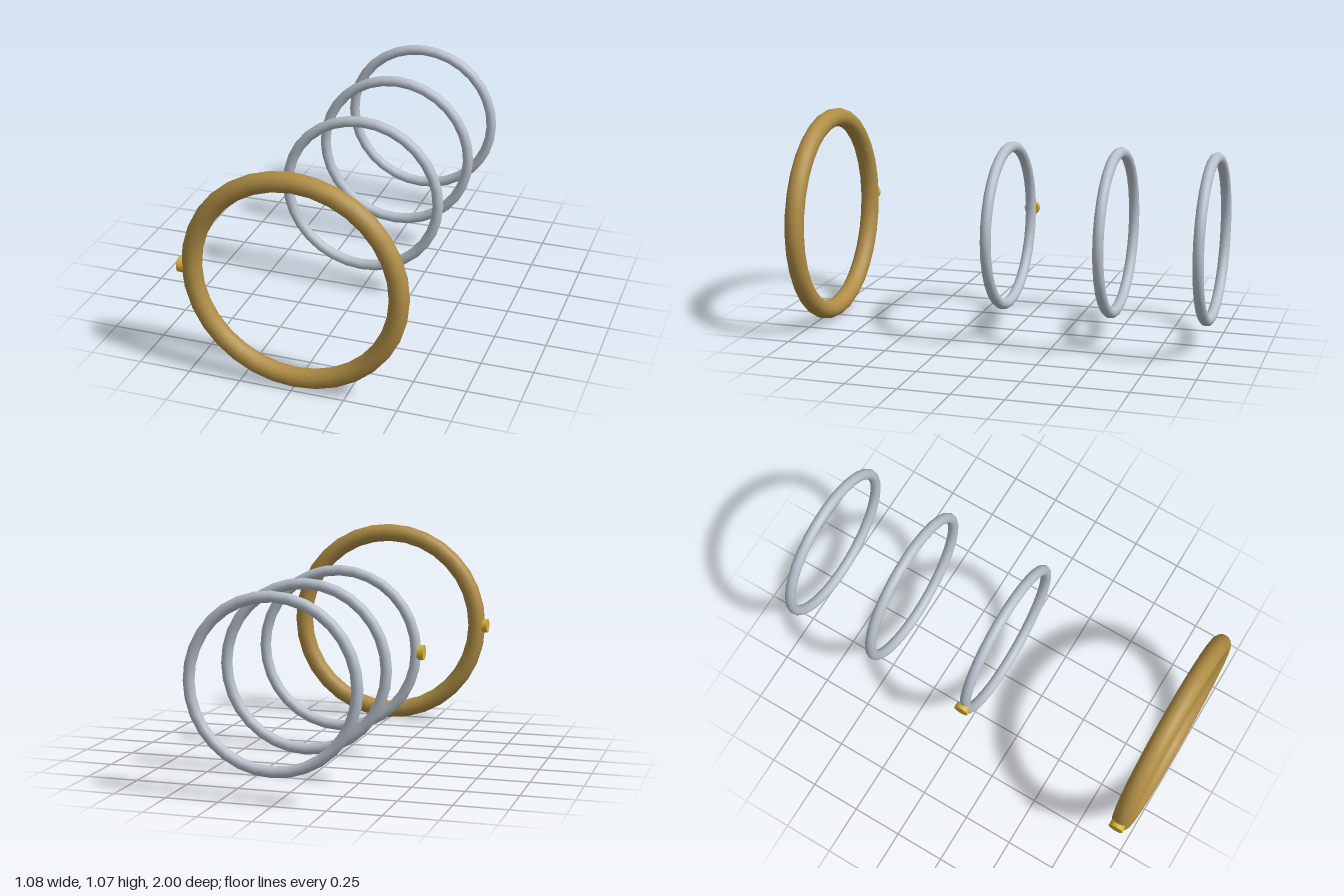
import * as THREE from 'three';

const CX = 0.005, CY = 0.537;

const material = (color) => new THREE.MeshStandardMaterial({ color });

export function createModel() {
  const model = new THREE.Group();
  const brass = material(0xb08d45);
  const silver = material(0xb8c0cc);
  const gold = material(0xd4af37);

  // One hoop facing +z, with an optional round stud on its right-hand rim
  function addRing(name, z, radius, tube, mat, hasStud) {
    const group = new THREE.Group();
    group.name = name;
    group.position.set(CX, CY, z);

    const hoop = new THREE.Mesh(new THREE.TorusGeometry(radius, tube, 16, 32), mat);
    hoop.name = name + 'Hoop';
    group.add(hoop);

    if (hasStud) {
      const stud = new THREE.Mesh(new THREE.CylinderGeometry(0.037, 0.037, 0.03, 16), gold);
      stud.name = name + 'Stud';
      stud.rotation.z = Math.PI / 2;
      stud.position.x = -(radius + tube);
      group.add(stud);
    }
    model.add(group);
  }

  // Large front ring, then three thinner rings behind it
  addRing('frontRing', 0.954, 0.487, 0.046, brass, true);
  addRing('middleRing', 0.03, 0.386, 0.026, silver, true);
  addRing('rearRing', -0.51, 0.386, 0.026, silver, false);
  addRing('endRing', -0.974, 0.386, 0.026, silver, false);

  return model;
}
